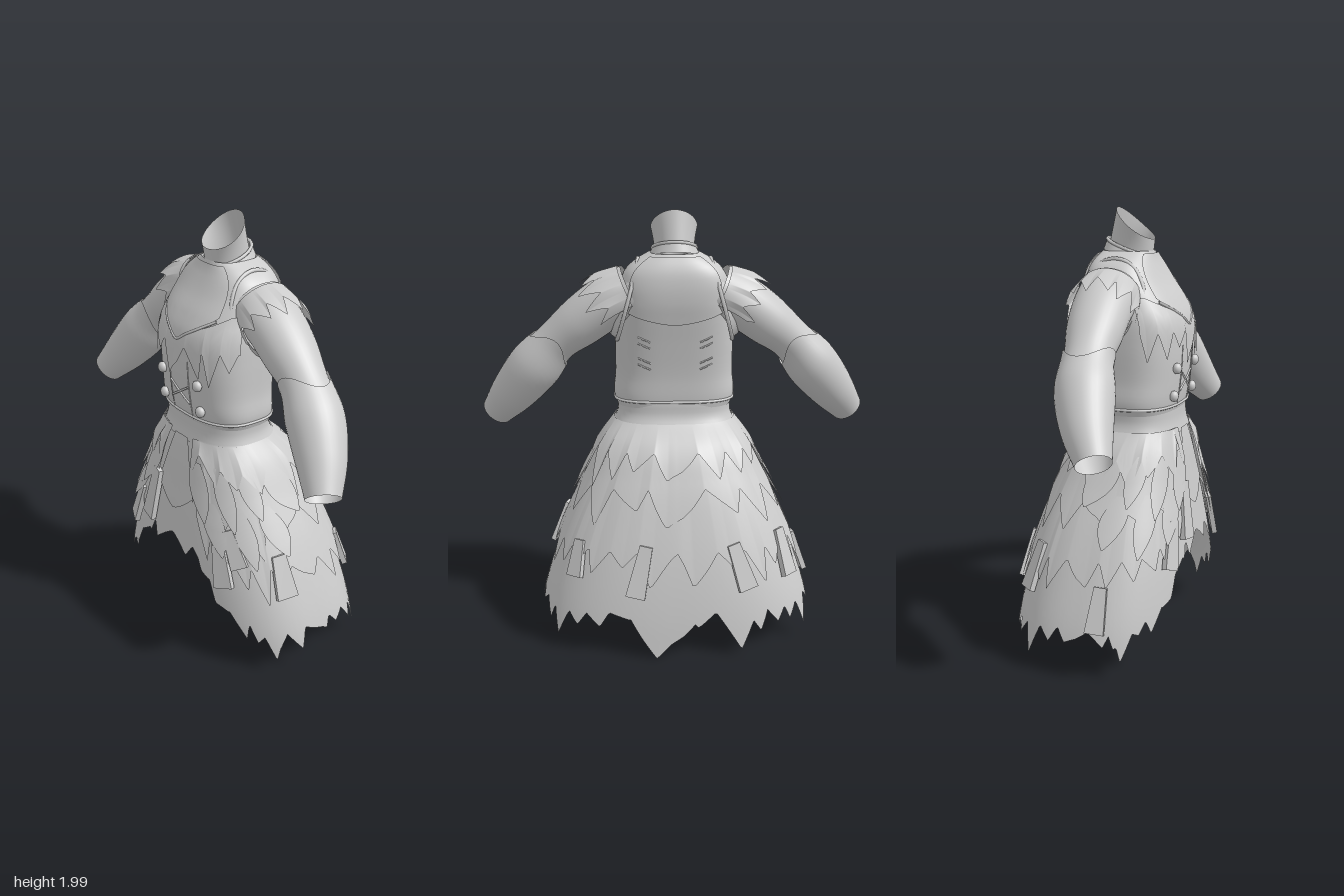
import * as THREE from 'three';
import { ParametricGeometry } from 'three/addons/geometries/ParametricGeometry.js';

const PI = Math.PI;
const mat = new THREE.MeshStandardMaterial({ color: 0xcccccc, side: THREE.DoubleSide });
const hash = (k) => { const s = Math.sin(k * 127.1 + 11.7) * 43758.5453; return s - Math.floor(s); };
const mix = THREE.MathUtils.lerp;

// piecewise linear value from [position, value] keys
function keyed(keys, t) {
  for (let i = 1; i < keys.length; i++) {
    const [a, b] = [keys[i - 1], keys[i]];
    if (t <= b[0]) return mix(a[1], b[1], Math.max(0, (t - a[0]) / (b[0] - a[0])));
  }
  return keys[keys.length - 1][1];
}

// torn edge: n uneven points around the circle, 0 at the notches, up to 1 at the tips
function teeth(a, n, seed) {
  const p = ((a / (2 * PI) + 2) % 1) * n, k = Math.floor(p), f = p - k;
  const m = 0.2 + 0.6 * hash(k + seed), h = 0.35 + 0.65 * hash(k * 3 + seed + 5);
  return h * (f < m ? f / m : (1 - f) / (1 - m));
}

// smooth values through rows of [position, ...values]
const smooth = (rows) => {
  const n = rows[0].length - 1;
  const cubic = new THREE.CubicInterpolant(rows.map((r) => r[0]), rows.flatMap((r) => r.slice(1)), n, new Float32Array(n));
  return (t) => cubic.evaluate(THREE.MathUtils.clamp(t, rows[0][0], rows[rows.length - 1][0]));
};

// body of rounded cross-sections [y, half width, back z, front z], with its own squareness
// in front and behind; a = 0 is the front, +x the left
function body(rings, eFront, eBack) {
  const ring = smooth(rings);
  return (a, y, off = 0) => {
    const [w, b, f] = ring(y), s = Math.sin(a), c = Math.cos(a);
    const pow = (v) => Math.sign(v) * Math.abs(v) ** (2 / (c > 0 ? eFront : eBack));
    return new THREE.Vector3((w + off) * pow(s), y, (b + f) / 2 + ((f - b) / 2 + off) * pow(c));
  };
}

const torso = body([
  [1.1, 0.265, -0.05, 0.3], [1.14, 0.28, -0.055, 0.31], [1.25, 0.274, -0.06, 0.325], [1.4, 0.274, -0.08, 0.333],
  [1.52, 0.27, -0.1, 0.325], [1.6, 0.258, -0.112, 0.285], [1.68, 0.245, -0.112, 0.23], [1.74, 0.215, -0.1, 0.195],
  [1.78, 0.165, -0.08, 0.175], [1.81, 0.11, -0.055, 0.165]], 2.5, 3.1);
const skirt = body([
  [0, 0.665, -0.41, 0.405], [0.2, 0.63, -0.385, 0.41], [0.4, 0.565, -0.345, 0.4], [0.6, 0.485, -0.29, 0.375],
  [0.8, 0.39, -0.22, 0.345], [0.95, 0.32, -0.145, 0.322], [1.03, 0.268, -0.065, 0.305]], 2.6, 2.6);

export function createModel() {
  const model = new THREE.Group();
  const add = (name, geo) => {
    const m = new THREE.Mesh(geo, mat);
    m.name = name;
    model.add(m);
    return m;
  };
  const sheet = (name, fn, nu, nv) =>
    add(name, new ParametricGeometry((u, v, t) => t.copy(fn(u, v)), nu, nv));
  // layer lying on a body between two heights that depend on the angle
  const layer = (name, on, [a0, a1], bottom, top, off, nu, nv, flare = 0) =>
    sheet(name, (u, v) => {
      const a = mix(a0, a1, u);
      return on(a, mix(bottom(a), top(a), v), off + flare * (1 - v));
    }, nu, nv);
  const cord = (name, pts, r, closed = false) =>
    add(name, new THREE.TubeGeometry(new THREE.CatmullRomCurve3(pts, closed), pts.length * 5, r, 6, closed));
  const angleAt = (x) => Math.asin(Math.sign(x) * (Math.abs(x) / 0.273) ** 1.25);
  const onFront = (x, y, off) => torso(angleAt(x), y, off);
  const onBack = (x, y, off) => torso(PI - angleAt(x), y, off);
  const all = [-PI, PI];

  // torso and neck
  layer('torso', torso, all, () => 1.1, () => 1.81, 0, 72, 30);
  const tilted = (a, r, y, z, tilt, dz) =>
    new THREE.Vector3(r * Math.sin(a), y - tilt * Math.cos(a), z + dz * Math.cos(a));
  sheet('neck', (u, v) => {
    const a = mix(-PI, PI, u);
    return tilted(a, mix(0.09, 0.106, v * v), mix(1.79, 1.93, v) - 0.012 * v * Math.sin(a) ** 2,
      mix(0.06, 0.085, v), mix(0.035, 0.07, v), mix(0.1, 0.085, v));
  }, 40, 8);
  sheet('collar', (u, v) => tilted(mix(-PI, PI, u), mix(0.122, 0.1, v), mix(1.78, 1.825, v), 0.06, 0.04, mix(0.122, 0.105, v)), 40, 4);
  cord('collarRim', Array.from({ length: 16 }, (_, i) => tilted(i * PI / 8, 0.1, 1.823, 0.06, 0.04, 0.105)), 0.008, true);

  // pointed yoke, front and back
  layer('frontYoke', torso, [-0.72, 0.72], (a) => 1.5 + 0.16 * Math.abs(a), () => 1.8, 0.01, 48, 12);
  layer('backYoke', torso, [PI - 0.8, PI + 0.8], (a) => 1.5 + 0.07 * Math.abs(a - PI), () => 1.8, 0.01, 48, 12);
  cord('yokeTrim', [-0.19, -0.12, -0.06, 0, 0.06, 0.12, 0.19].map((x) => onFront(x, 1.49 + 0.58 * Math.abs(x), 0.008)), 0.006);

  // torn upper bodice over the corset
  layer('tornBodice', torso, [-1.3, 1.3], (a) => 1.47 - 0.16 * teeth(a + 0.2, 17, 3), (a) => 1.52 + 0.1 * Math.min(1, Math.abs(a)), 0.008, 160, 4, 0.008);
  cord('corsetHem', Array.from({ length: 40 }, (_, i) => torso(i * PI / 20, 1.13)), 0.007, true);
  for (const s of [-1, 1]) {
    cord('corsetSeam', [1.12, 1.2, 1.3, 1.4].map((y) => onFront(s * 0.07, y, -0.001)), 0.004);
    cord('lace', [-1, 0, 1].map((k) => onFront(k * s * 0.065, 1.235 + k * 0.04, 0.002)), 0.005);
    for (const y of [1.18, 1.305]) {
      const b = add('button', new THREE.SphereGeometry(0.025, 16, 12));
      b.position.copy(onFront(s * 0.13, y, 0.01));
      b.scale.z = 0.8;
    }
    for (const y of [1.3, 1.33, 1.4, 1.43])
      cord('backStitch', [-0.03, 0, 0.03].map((d) => onBack(s * 0.12 + d, y + d * 0.4 * s, 0)), 0.004);
  }

  // waistband
  const waist = body([[1.0, 0.285, -0.085, 0.312], [1.06, 0.262, -0.055, 0.3], [1.12, 0.262, -0.05, 0.298]], 2.5, 2.8);
  layer('waistband', waist, all, () => 1.0, () => 1.12, 0.004, 64, 6);

  // base skirt: short in front, long behind, with a few deep spikes [angle, tip height]
  const hemKeys = [[0, 0.53], [0.28, 0.52], [0.4, 0.42], [0.5, 0.37], [0.62, 0.29], [0.9, 0.24], [1.15, 0.2], [1.6, 0.23], [2.4, 0.2], [PI, 0.25]];
  const spikes = [[PI - 0.08, 0.01], [-PI + 0.36, 0.04], [1.1, 0.08], [-1.1, 0.09], [2.2, 0.08], [-2, 0.08]];
  const hem = (a) => spikes.reduce((y, [c, tip]) => Math.min(y, tip + 2.2 * Math.abs(Math.sin((a - c) / 2))),
    keyed(hemKeys, Math.abs(a)) - 0.1 * teeth(a, 30, 1));
  layer('baseSkirt', skirt, all, hem, () => 1.03, 0, 380, 14);

  // overlapping torn skirt layers, open at the front
  const layers = [
    ['lowerSkirtLayer', 0.3, [[0, 0.78], [0.3, 0.74], [0.55, 0.58], [1, 0.52], [PI, 0.5]], 0.17, 26, 7, 0.006, 0.018],
    ['middleSkirtLayer', 0.24, [[0, 0.95], [0.3, 0.9], [0.7, 0.76], [1.2, 0.72], [2, 0.76], [PI, 0.78]], 0.2, 15, 2, 0.01, 0.016],
    ['upperSkirtLayer', 0.2, [[0, 1.0], [0.4, 0.98], [0.8, 0.93], [1.5, 0.92], [PI, 0.93]], 0.17, 17, 9, 0.014, 0.018]];
  for (const [name, gap, keys, depth, n, seed, off, flare] of layers)
    layer(name, skirt, [gap, 2 * PI - gap], (a) =>
      keyed(keys, a > PI ? 2 * PI - a : a) - depth * teeth(a, n, seed), () => 1.03, off, 300, 10, flare);

  // kite-shaped front panel
  sheet('frontPanel', (u, v) => {
    const k = 2 * u - 1, low = 0.66 + 0.1 * Math.abs(k), y = mix(low, 1.02, v);
    return skirt(k * mix(0.24, 0.1, v), y, 0.014);
  }, 24, 10);

  // pointed leaves fanning out on both front sides
  for (const s of [-1, 1])
    for (let i = 0; i < 7; i++) {
      const a = s * (0.3 + 0.2 * i), y = 0.94 - 0.16 * (i % 2), len = 0.2 + 0.07 * hash(i * 5);
      sheet('leaf', (u, v) => skirt(a + s * 0.14 * (1 - v) + (u - 0.5) * s * 0.3 * Math.sin(PI * (0.02 + 0.8 * v)),
        y - len * (1 - v), 0.025 + 0.018 * (1 - v)), 8, 8);
    }

  // hanging tags: [angle, centre height, width, height, tilt]
  const tags = [[-0.54, 0.55, 0.085, 0.22, -0.12], [-0.25, 0.67, 0.095, 0.26, 0], [0.6, 0.51, 0.095, 0.2, 0.05],
    [0.78, 0.6, 0.08, 0.18, 0.2], [1.33, 0.48, 0.1, 0.2, 0], [PI - 0.85, 0.45, 0.08, 0.17, 0.15], [PI - 0.2, 0.42, 0.09, 0.24, -0.12],
    [-PI + 0.42, 0.43, 0.09, 0.22, 0.15], [-PI + 1, 0.45, 0.09, 0.22, -0.1], [-1.4, 0.32, 0.085, 0.2, 0]];
  for (const [a, y, w, h, tilt] of tags) {
    const geo = new THREE.BoxGeometry(w, h, 0.025);
    const p = geo.attributes.position;
    for (let i = 0; i < p.count; i++) if (p.getY(i) > 0) p.setX(i, p.getX(i) * 0.65);
    geo.computeVertexNormals();
    const tag = add('tag', geo);
    const up = skirt(a, y + 0.05).sub(skirt(a, y - 0.05)).normalize();
    const across = skirt(a + 0.05, y).sub(skirt(a - 0.05, y)).normalize();
    const out = across.clone().cross(up).normalize();
    across.crossVectors(up, out);
    tag.quaternion.setFromRotationMatrix(new THREE.Matrix4().makeBasis(across, up, out));
    tag.rotateZ(tilt);
    tag.position.copy(skirt(a, y, 0.022));
  }

  // arms with sleeves and torn shoulder caps
  const path = new THREE.CatmullRomCurve3([[0.19, 1.635, 0.035], [0.31, 1.577, 0.04], [0.43, 1.49, 0.05], [0.545, 1.395, 0.065],
    [0.645, 1.28, 0.09], [0.75, 1.15, 0.14], [0.845, 1.03, 0.205]].map((p) => new THREE.Vector3(...p)));
  const radius = smooth([0.125, 0.122, 0.115, 0.098, 0.115, 0.1, 0.068].map((r, i) => [i / 6, r]));
  const arm = (s, ang, t, off) => {
    const c = path.getPoint(t), dir = path.getTangent(t);
    const fwd = new THREE.Vector3(0, 0, 1).addScaledVector(dir, -dir.z).normalize();
    const up = new THREE.Vector3().crossVectors(fwd, dir);
    const r = radius(t)[0] + off, deep = mix(1.1, 1, t);
    c.addScaledVector(up, r * Math.cos(ang)).addScaledVector(fwd, r * deep * Math.sin(ang));
    c.x *= s;
    return c;
  };
  for (const s of [-1, 1]) {
    const ang = (u) => -s * (u * 2 - 1) * PI;
    const cuff = (g) => 0.51 + 0.05 * Math.cos(2 * g);
    sheet('upperSleeve', (u, v) => arm(s, ang(u), mix(0.58, 0, v), 0), 36, 24);
    sheet('forearmSleeve', (u, v) => arm(s, ang(u), mix(1, cuff(ang(u)), v), 0.008), 36, 20);
    sheet('shoulderCap', (u, v) => {
      const g = mix(-1.9, 1.9, u);
      return arm(s, -s * g, mix(0.14 + 0.13 * teeth(g, 12, 4), 0.02, v), 0.006 + 0.018 * (1 - v));
    }, 120, 8);
    // band around the armhole
    const hole = (g, k, dx) => new THREE.Vector3(s * (0.215 + dx - 0.05 * Math.sin(g)),
      1.595 + 0.185 * k * Math.sin(g), 0.045 + 0.15 * k * Math.cos(g));
    sheet('armholeBand', (u, v) => hole(s * u * 2 * PI, mix(0.85, 1, v), mix(0.03, 0, v)), 40, 3);
    cord('armholeTrim', Array.from({ length: 20 }, (_, i) => hole(i * PI / 10, 1, 0)), 0.01, true);
  }
  return model;
}
